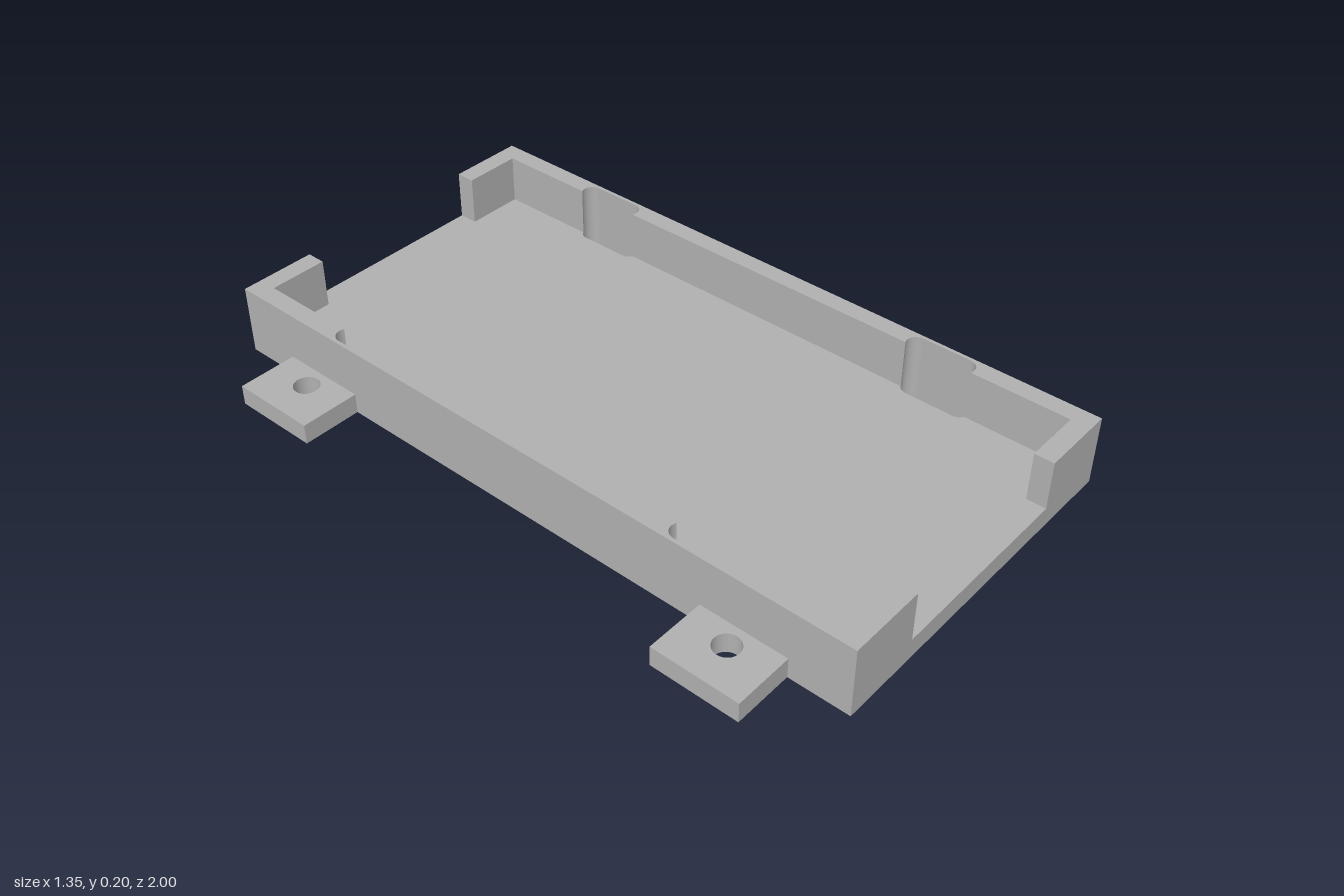
import * as THREE from 'three';

const HALF_W = 0.505, HALF_L = 1, FLOOR = 0.058, HEIGHT = 0.2;
const INNER_X = 0.452, INNER_Z = 0.945, LIP_X = 0.283;
const SLOT = { x: 0.4655, r: 0.0295, near: 0.4925, far: 0.6345 };
const TAB = { out: 0.675, z0: 0.58, z1: 0.83, holeX: 0.562, holeZ: 0.705, holeR: 0.036 };

// Extrude a plan shape (x, -z) upwards from y0 to y1
function slab(shape, y0, y1) {
  const geo = new THREE.ExtrudeGeometry(shape, { depth: y1 - y0, bevelEnabled: false, curveSegments: 16 });
  return geo.rotateX(-Math.PI / 2).translate(0, y0, 0);
}

function rectangle(x0, y0, x1, y1) {
  return new THREE.Shape([[x0, y0], [x1, y0], [x1, y1], [x0, y1]].map(p => new THREE.Vector2(...p)));
}

// Elongated strap slot through the floor
function slotHole(sx, sy) {
  const mid = sy * (SLOT.near + SLOT.far) / 2, half = (SLOT.far - SLOT.near) / 2;
  const path = new THREE.Path();
  path.absarc(sx * SLOT.x, mid + half, SLOT.r, 0, Math.PI, false);
  path.absarc(sx * SLOT.x, mid - half, SLOT.r, Math.PI, Math.PI * 2, false);
  path.closePath();
  return path;
}

// Side wall with returned corners, its inner face notched by the slots
function wallShape() {
  const s = new THREE.Shape();
  const a = Math.PI - Math.acos((SLOT.x - INNER_X) / SLOT.r);
  s.moveTo(HALF_W, -HALF_L);
  s.lineTo(HALF_W, HALF_L);
  s.lineTo(LIP_X, HALF_L);
  s.lineTo(LIP_X, INNER_Z);
  s.lineTo(INNER_X, INNER_Z);
  for (const [top, bottom] of [[SLOT.far, SLOT.near], [-SLOT.near, -SLOT.far]]) {
    s.absarc(SLOT.x, top, SLOT.r, a, 0, true);
    s.absarc(SLOT.x, bottom, SLOT.r, 0, -a, true);
  }
  s.lineTo(INNER_X, -INNER_Z);
  s.lineTo(LIP_X, -INNER_Z);
  s.lineTo(LIP_X, -HALF_L);
  s.closePath();
  return s;
}

export function createModel() {
  const model = new THREE.Group();
  model.name = 'mountingTray';
  const grey = new THREE.MeshStandardMaterial({ color: 0xb0b0b0 });
  grey.name = 'grey plastic';
  const add = (name, geo) => {
    const mesh = new THREE.Mesh(geo, grey);
    mesh.name = name;
    model.add(mesh);
    return mesh;
  };

  // Floor plate with four slots
  const floor = rectangle(-HALF_W, -HALF_L, HALF_W, HALF_L);
  for (const sx of [-1, 1]) for (const sy of [-1, 1]) floor.holes.push(slotHole(sx, sy));
  add('floor', slab(floor, 0, FLOOR));

  // Two side walls, one turned half round
  const wall = slab(wallShape(), FLOOR, HEIGHT);
  add('leftWall', wall);
  add('rightWall', wall).rotation.y = Math.PI;

  // Four screw tabs
  for (const sx of [-1, 1]) {
    for (const sy of [-1, 1]) {
      const xs = [sx * HALF_W, sx * TAB.out].sort((a, b) => a - b);
      const ys = [sy * TAB.z0, sy * TAB.z1].sort((a, b) => a - b);
      const tab = rectangle(xs[0], ys[0], xs[1], ys[1]);
      const hole = new THREE.Path();
      hole.absarc(sx * TAB.holeX, sy * TAB.holeZ, TAB.holeR, 0, Math.PI * 2, false);
      tab.holes.push(hole);
      add((sy < 0 ? 'front' : 'back') + (sx > 0 ? 'Left' : 'Right') + 'Tab', slab(tab, 0, FLOOR));
    }
  }
  return model;
}
